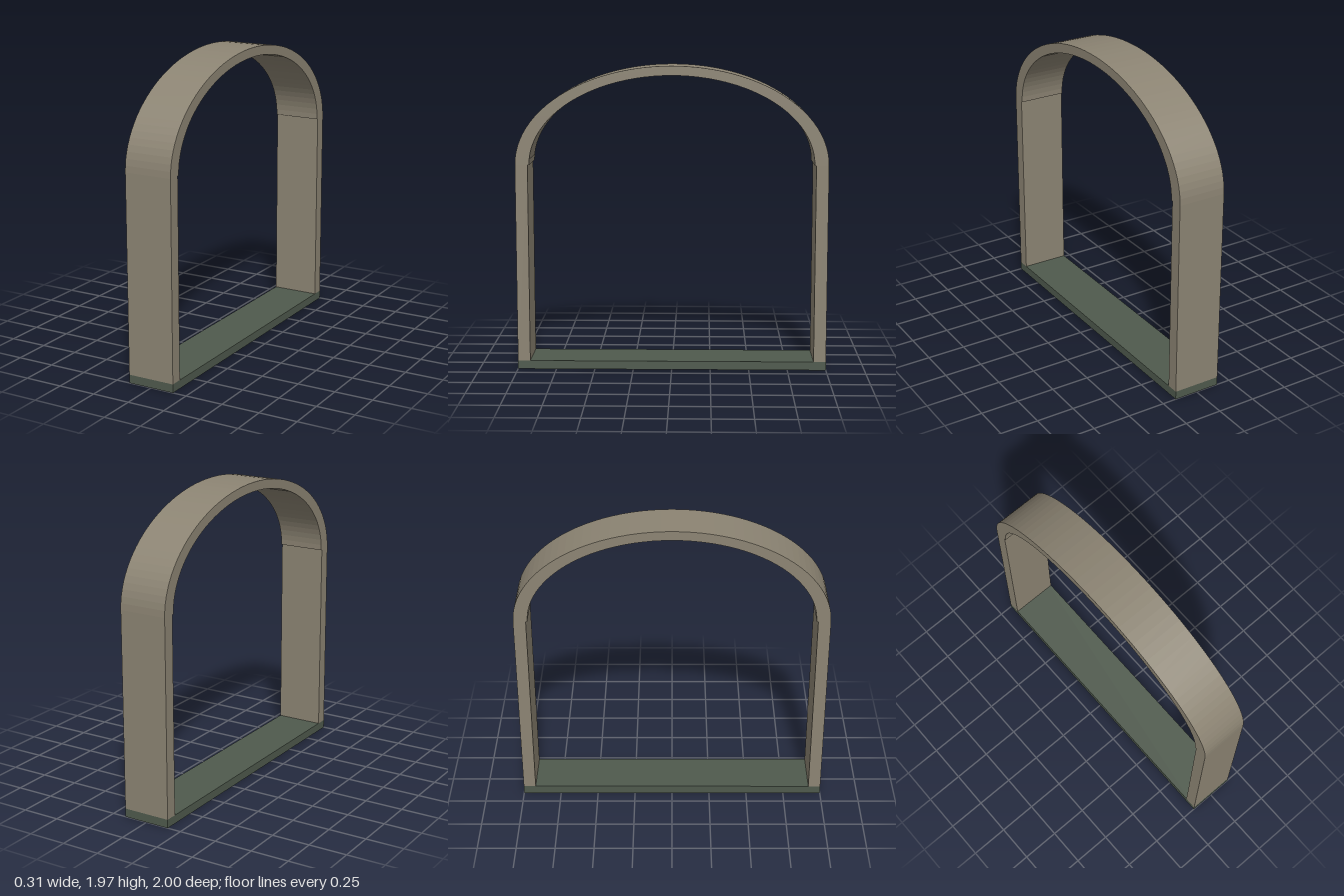
import * as THREE from 'three';

export function createModel() {
  const model = new THREE.Group();
  const stone = new THREE.MeshStandardMaterial({ color: 0x8c8473 });
  stone.name = 'warm grey stone';
  const green = new THREE.MeshStandardMaterial({ color: 0x4f5a4d });
  green.name = 'dark green base';

  const width = 0.315, baseHeight = 0.055, springY = 1.335;

  const add = (name, geometry, material, y, z) => {
    const mesh = new THREE.Mesh(geometry, material);
    mesh.name = name;
    mesh.position.set(0, y, z);
    model.add(mesh);
    return mesh;
  };

  // Base slab
  add('baseSlab', new THREE.BoxGeometry(width, baseHeight, 2), green, baseHeight / 2, 0);

  // Upright posts
  const postHeight = springY - baseHeight, postDepth = 0.08;
  for (const [name, side] of [['frontPost', 1], ['backPost', -1]]) {
    add(name, new THREE.BoxGeometry(width, postHeight, postDepth), stone,
      baseHeight + postHeight / 2, side * (1 - postDepth / 2));
  }

  // Half-elliptical arch band, slightly thicker than the posts at its feet
  const band = new THREE.Shape();
  band.absellipse(0, 0, 1, 0.63, 0, Math.PI, false);
  band.lineTo(-0.91, 0);
  band.absellipse(0, 0, 0.91, 0.57, Math.PI, 0, true);
  band.closePath();
  const archGeometry = new THREE.ExtrudeGeometry(band, {
    depth: width, bevelEnabled: false, curveSegments: 24,
  });
  archGeometry.translate(0, 0, -width / 2);
  archGeometry.rotateY(Math.PI / 2);
  add('arch', archGeometry, stone, springY, 0);

  return model;
}
